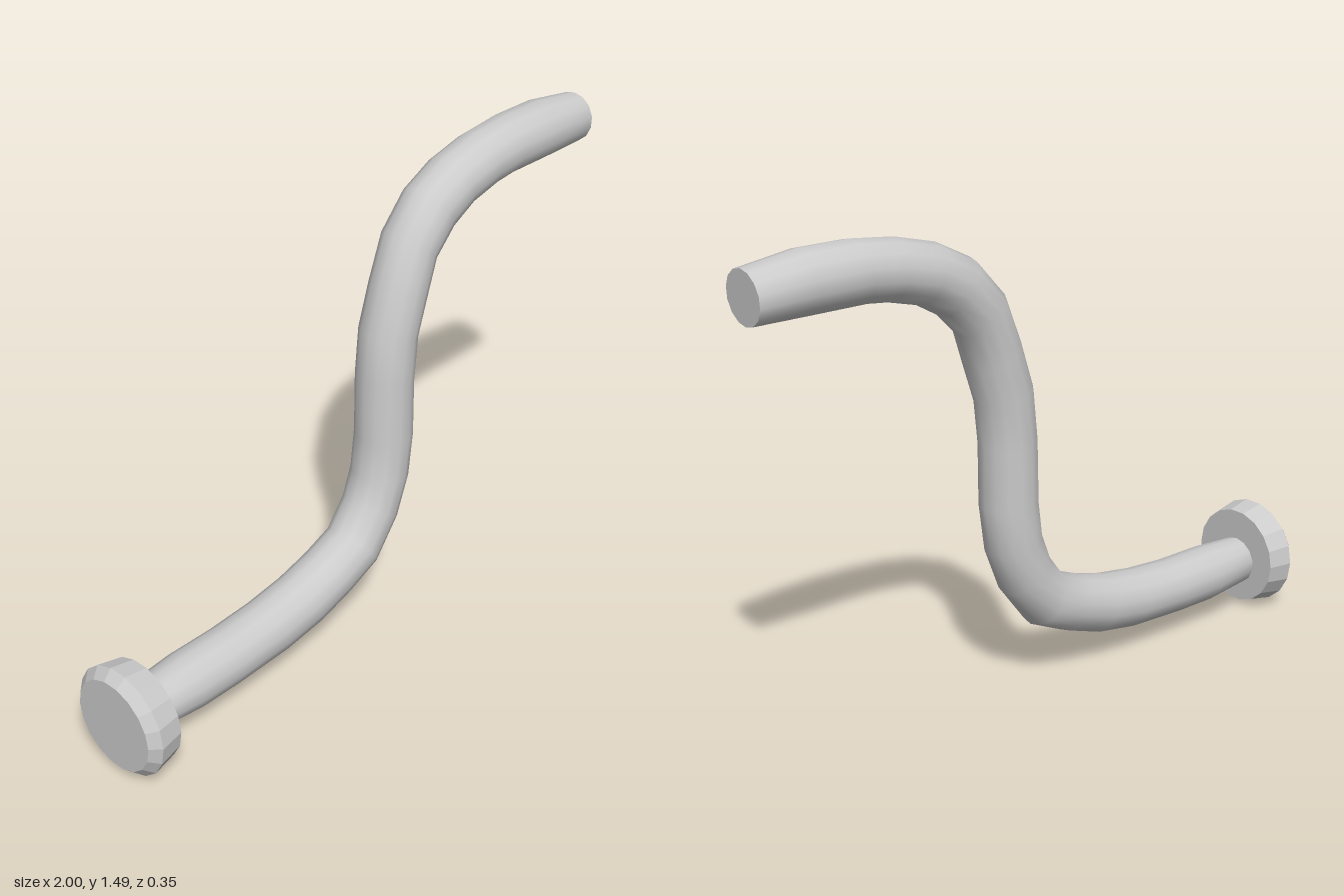
import * as THREE from 'three';

const SIDES = 14;
const PIPE_Z = -0.011;

// Pipe bends in the XY plane: each station is [xa, ya, xb, yb],
// the two opposite edge points of one cross-section.
const STATIONS = [
  [-0.88, 0.24, -0.88, 0.085], [-0.72, 0.25, -0.72, 0.07],
  [-0.55, 0.25, -0.58, 0.07], [-0.41, 0.26, -0.36, 0.08],
  [-0.28, 0.28, -0.21, 0.105], [-0.17, 0.31, -0.08, 0.15],
  [-0.07, 0.35, 0.04, 0.205], [-0.01, 0.43, 0.14, 0.335],
  [0.02, 0.51, 0.195, 0.475], [0.035, 0.63, 0.215, 0.62],
  [0.04, 0.83, 0.215, 0.80], [0.055, 0.98, 0.23, 0.945],
  [0.10, 1.12, 0.265, 1.05], [0.16, 1.27, 0.30, 1.16],
  [0.26, 1.38, 0.37, 1.23], [0.38, 1.44, 0.45, 1.275],
  [0.52, 1.475, 0.55, 1.30], [0.66, 1.49, 0.64, 1.31],
  [0.82, 1.49, 0.82, 1.31], [1.0, 1.465, 0.99, 1.31],
];

function ring(index) {
  const [xa, ya, xb, yb] = STATIONS[index];
  const isEnd = index === 0 || index === STATIONS.length - 1;
  const depth = isEnd ? 0.077 : 0.09;
  const points = [];
  for (let k = 0; k < SIDES; k++) {
    const a = (k / SIDES) * Math.PI * 2;
    const c = Math.cos(a) / 2;
    points.push(
      (xa + xb) / 2 + (xa - xb) * c,
      (ya + yb) / 2 + (ya - yb) * c,
      PIPE_Z + depth * Math.sin(a)
    );
  }
  return points;
}

function build(positions, indices) {
  const geometry = new THREE.BufferGeometry();
  geometry.setAttribute('position', new THREE.Float32BufferAttribute(positions, 3));
  geometry.setIndex(indices);
  geometry.computeVertexNormals();
  return geometry;
}

// Smooth skin joining neighbouring rings
function pipeSkin() {
  const positions = [];
  const indices = [];
  STATIONS.forEach((_, i) => positions.push(...ring(i)));
  for (let i = 0; i < STATIONS.length - 1; i++) {
    for (let k = 0; k < SIDES; k++) {
      const a = i * SIDES + k;
      const b = i * SIDES + ((k + 1) % SIDES);
      indices.push(a, b, a + SIDES, b, b + SIDES, a + SIDES);
    }
  }
  return build(positions, indices);
}

// Flat disc closing one end
function pipeCap(index, reversed) {
  const indices = [];
  for (let k = 1; k < SIDES - 1; k++) {
    indices.push(0, reversed ? k + 1 : k, reversed ? k : k + 1);
  }
  return build(ring(index), indices);
}

export function createModel() {
  const model = new THREE.Group();
  const smooth = new THREE.MeshStandardMaterial({ color: 0xcccccc });
  const flat = new THREE.MeshStandardMaterial({ color: 0xcccccc, flatShading: true });

  function add(parent, name, geometry, material) {
    const mesh = new THREE.Mesh(geometry, material);
    mesh.name = name;
    parent.add(mesh);
    return mesh;
  }

  // S-shaped pipe
  const pipe = new THREE.Group();
  pipe.name = 'pipe';
  model.add(pipe);
  add(pipe, 'pipeBody', pipeSkin(), smooth);
  add(pipe, 'pipeLowerEnd', pipeCap(0, true), flat);
  add(pipe, 'pipeUpperEnd', pipeCap(STATIONS.length - 1, false), flat);

  // Bevelled disc at the lower end, turned to face along x
  const profile = [[0, 0], [0.145, 0], [0.174, 0.03], [0.158, 0.11], [0, 0.11]]
    .map(([r, h]) => new THREE.Vector2(r, h));
  const flange = add(model, 'flange', new THREE.LatheGeometry(profile, 18), flat);
  flange.rotation.z = -Math.PI / 2;
  flange.position.set(-1, 0.174, 0);

  return model;
}
